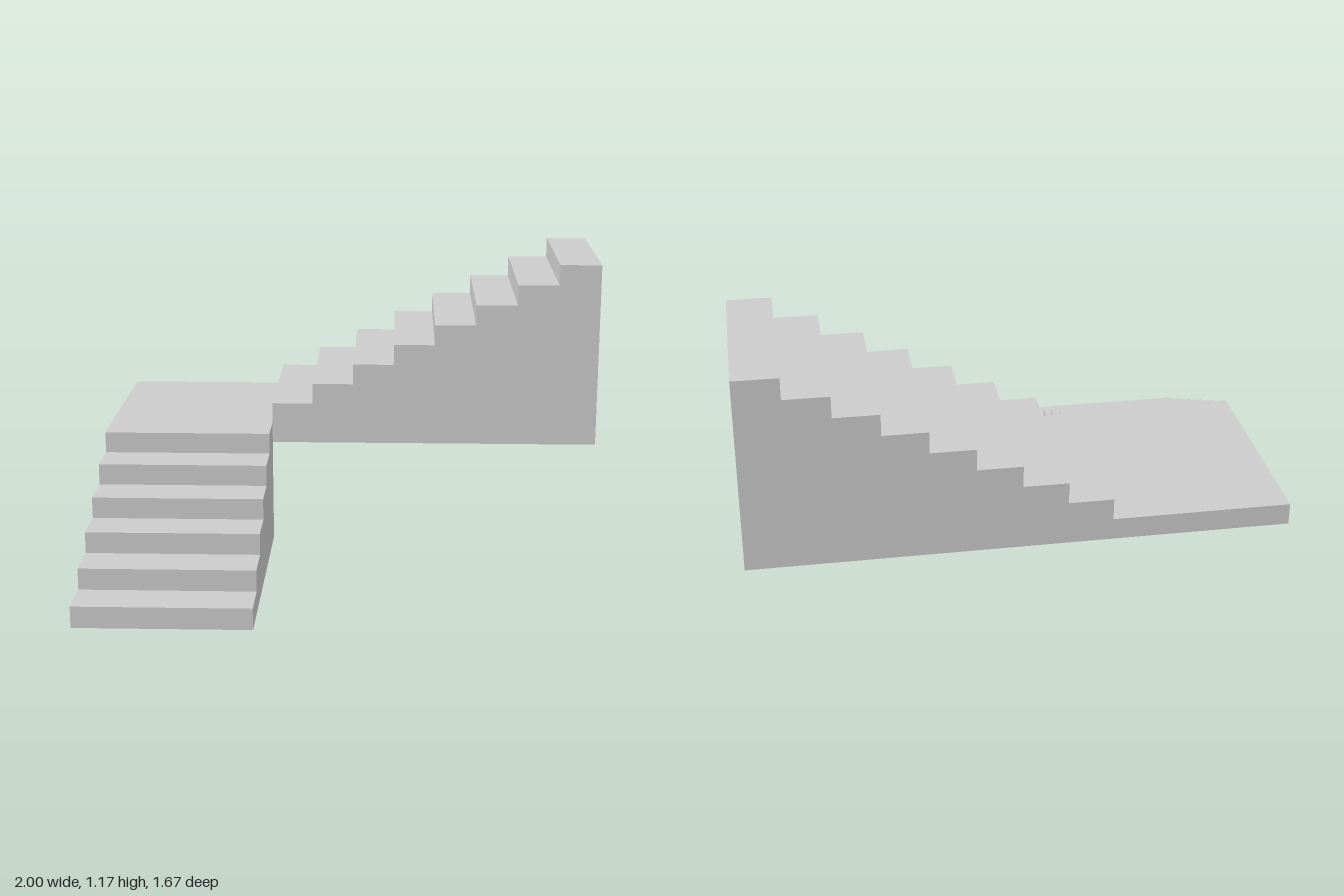
import * as THREE from 'three';

const RUN = 1 / 6, RISE = 1 / 12, WIDTH = 2 / 3;
const LANDING_BASE = 5 * RISE;

const material = new THREE.MeshStandardMaterial({ color: 0xcccccc, flatShading: true });

// Solid flight climbing along +x; base is the height of solid below the first riser
function flight(name, steps, base) {
  const shape = new THREE.Shape().moveTo(0, 0);
  shape.lineTo(steps * RUN, 0);
  for (let i = steps; i > 0; i--) {
    const top = base + i * RISE;
    shape.lineTo(i * RUN, top);
    shape.lineTo((i - 1) * RUN, top);
  }
  const geometry = new THREE.ExtrudeGeometry(shape, { depth: WIDTH, bevelEnabled: false });
  const mesh = new THREE.Mesh(geometry, material);
  mesh.name = name;
  return mesh;
}

export function createModel() {
  const group = new THREE.Group();
  group.name = 'cornerStaircase';

  // Lower flight climbs from the front towards the back
  const lower = flight('lowerFlight', 6, 0);
  lower.rotation.y = Math.PI / 2;
  lower.position.set(-1, 0, 5 * RUN);

  // Square landing slab, flush with the last lower step
  const landing = new THREE.Mesh(new THREE.BoxGeometry(WIDTH, RISE, WIDTH), material);
  landing.name = 'landing';
  landing.position.set(-1 + WIDTH / 2, LANDING_BASE + RISE / 2, -0.5);

  // Upper flight climbs to the left, starting at the landing's underside
  const upper = flight('upperFlight', 8, RISE);
  upper.position.set(-1 + WIDTH, LANDING_BASE, -5 * RUN);

  group.add(lower, landing, upper);
  return group;
}
